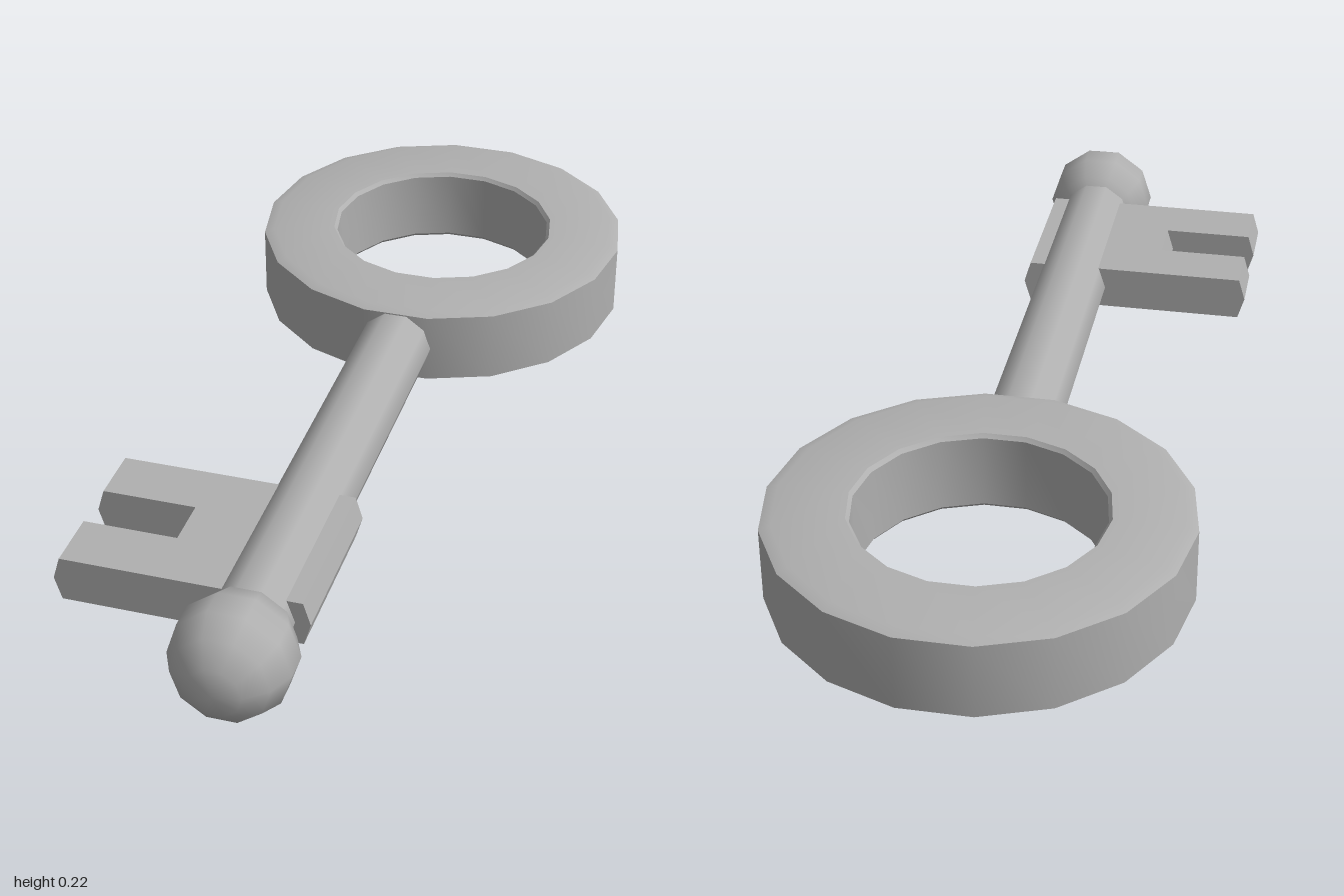
import * as THREE from 'three';
import { toCreasedNormals } from 'three/addons/utils/BufferGeometryUtils.js';

const AXIS_Y = 0.114; // height of the key's centre line

export function createModel() {
  const key = new THREE.Group();
  key.name = 'key';
  const metal = new THREE.MeshStandardMaterial({ color: 0xb0b0b0 });
  metal.name = 'grey metal';

  const add = (name, geometry, z, parent = key) => {
    const mesh = new THREE.Mesh(geometry, metal);
    mesh.name = name;
    mesh.position.set(0, AXIS_Y, z);
    parent.add(mesh);
    return mesh;
  };

  // Ring handle: bevelled band with 18 sides
  const section = [
    [0.243, -0.077], [0.25, -0.085], [0.388, -0.085], [0.41, -0.077],
    [0.41, 0.077], [0.388, 0.085], [0.25, 0.085], [0.243, 0.077], [0.243, -0.077],
  ].map(([r, y]) => new THREE.Vector2(r, y));
  const ring = new THREE.LatheGeometry(section, 18, Math.PI / 2);
  add('ringHandle', toCreasedNormals(ring, 0.37), -0.597);

  // Shaft, its ends sunk into the ring and the ball
  const shaft = new THREE.CylinderGeometry(0.078, 0.078, 1.06, 10, 1, false, Math.PI / 2);
  shaft.rotateX(Math.PI / 2);
  add('shaft', shaft, 0.29);

  // Ball tip with its poles along the shaft
  const ball = new THREE.SphereGeometry(0.121, 10, 7);
  ball.rotateX(Math.PI / 2);
  add('ballTip', ball, 0.879);

  // Bit: three slices with ridged ends, the middle one shorter to leave the slot
  const bit = new THREE.Group();
  bit.name = 'bit';
  key.add(bit);
  const h = 0.047, ridge = 0.014, right = 0.108;
  const slice = (name, left, z0, z1) => {
    const shape = new THREE.Shape([
      [left, 0], [left + ridge, -h], [right - ridge, -h],
      [right, 0], [right - ridge, h], [left + ridge, h],
    ].map(([x, y]) => new THREE.Vector2(x, y)));
    add(name, new THREE.ExtrudeGeometry(shape, { depth: z1 - z0, bevelEnabled: false }), z0, bit);
  };
  slice('backTooth', -0.395, 0.43, 0.545);
  slice('bitWeb', -0.206, 0.545, 0.645);
  slice('frontTooth', -0.395, 0.645, 0.765);

  return key;
}
